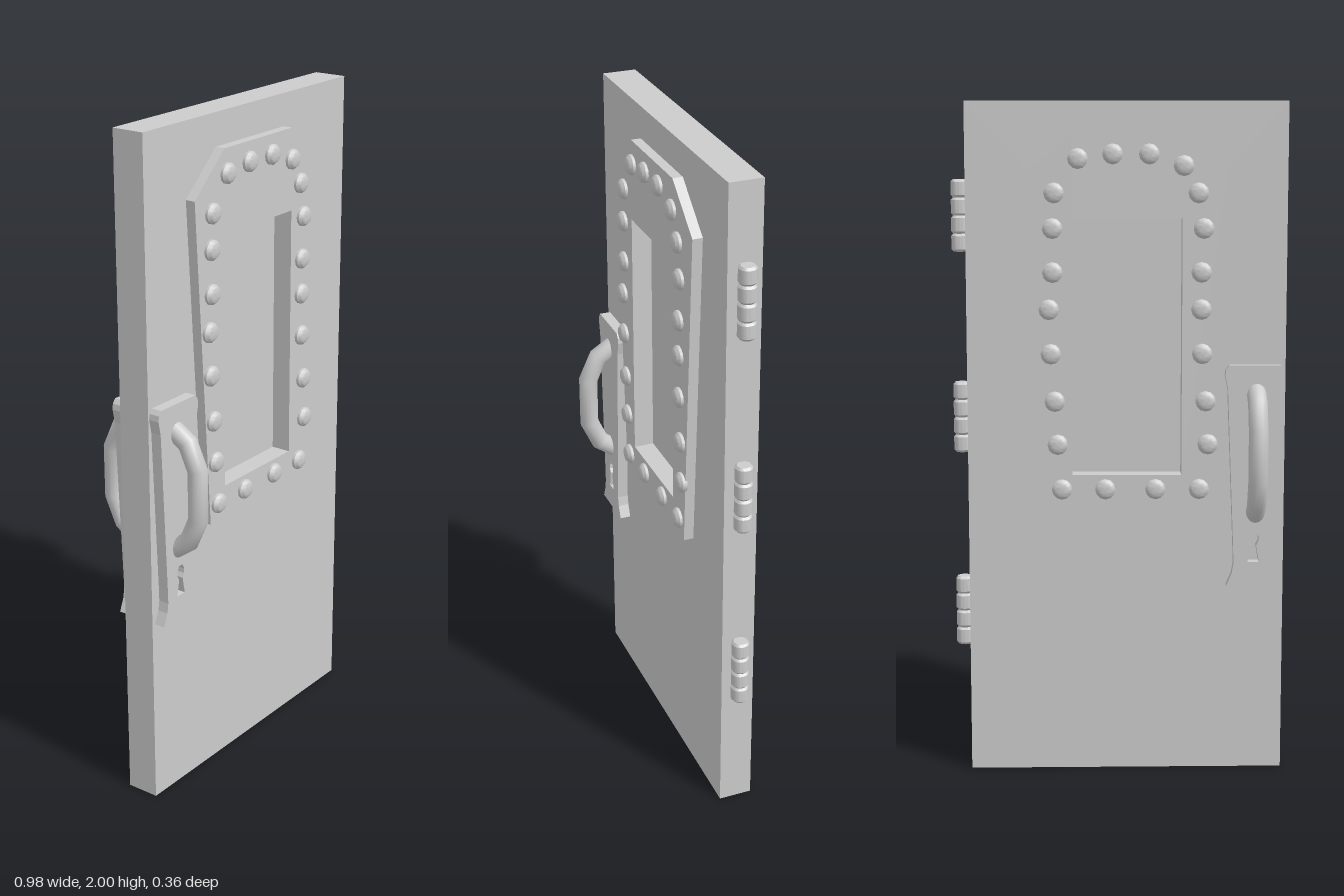
import * as THREE from 'three';
import { toCreasedNormals } from 'three/addons/utils/BufferGeometryUtils.js';

const material = new THREE.MeshStandardMaterial({ color: 0xcccccc });

function mesh(name, geometry, x = 0, y = 0, z = 0) {
  const m = new THREE.Mesh(geometry, material);
  m.name = name;
  m.position.set(x, y, z);
  return m;
}

const polygon = (Type, points) => new Type(points.map(([x, y]) => new THREE.Vector2(x, y)));
const rectangle = (x0, x1, y0, y1) => [[x0, y0], [x1, y0], [x1, y1], [x0, y1]];

// Flat plate cut from an outline, with one hole, between two depths
function plate(outline, hole, z0, z1) {
  const shape = polygon(THREE.Shape, outline);
  shape.holes.push(polygon(THREE.Path, hole));
  const g = new THREE.ExtrudeGeometry(shape, { depth: z1 - z0, bevelEnabled: false });
  return g.translate(0, 0, z0);
}

const WINDOW = rectangle(-0.185, 0.137, 0.91, 1.663);

const FRAME = [
  [-0.255, 0.81], [0.222, 0.81], [0.28, 1.785],
  [0.137, 1.905], [-0.183, 1.905], [-0.316, 1.785],
];

const RIVETS = [
  [-0.172, 1.835], [-0.071, 1.848], [0.035, 1.848], [0.135, 1.815],
  [-0.241, 1.737], [0.178, 1.737], [-0.246, 1.635], [0.194, 1.635],
  [-0.246, 1.508], [0.188, 1.508], [-0.257, 1.4], [0.188, 1.4],
  [-0.252, 1.27], [0.191, 1.27], [-0.241, 1.13], [0.202, 1.13],
  [-0.233, 1.002], [0.209, 1.002],
  [-0.221, 0.868], [-0.093, 0.868], [0.055, 0.868], [0.184, 0.868],
];

// Half outline of the lock plate, as offsets from its middle line
const LOCK_X = -0.401;
const LOCK_SIDE = [
  [0.08, 0.572], [0.064, 0.61], [0.059, 0.64], [0.06, 0.68],
  [0.08, 1.165], [0.088, 1.205], [0.086, 1.222], [0.076, 1.235],
];
const KEYHOLE_SIDE = [
  [0.017, 0.645], [0.008, 0.695], [0.015, 0.708], [0.016, 0.722], [0.008, 0.738],
];
const symmetric = (side) => [
  ...side.map(([x, y]) => [LOCK_X + x, y]),
  ...side.map(([x, y]) => [LOCK_X - x, y]).reverse(),
];

// Faceted, domed rivet pointing along +z
const rivetGeometry = toCreasedNormals(
  new THREE.LatheGeometry(
    [[0.03, -0.005], [0.03, 0.008], [0.022, 0.017], [0.012, 0.02], [0, 0.02]]
      .map(([r, h]) => new THREE.Vector2(r, h)), 12
  ).rotateX(Math.PI / 2), 0.6);

// Bent pull handle, standing out along +z
function handleGeometry() {
  const path = new THREE.CatmullRomCurve3(
    [[1.16, 0.06], [1.125, 0.118], [1.05, 0.152], [0.9, 0.152], [0.825, 0.118], [0.785, 0.06]]
      .map(([y, z]) => new THREE.Vector3(0, y, z)));
  // One tube ring at each bend
  path.getPointAt = path.getPoint;
  path.getTangentAt = path.getTangent;
  return new THREE.TubeGeometry(path, 5, 0.029, 16);
}

// Stack of bevelled knuckles
function hinge(y) {
  const group = new THREE.Group();
  group.name = 'hinge';
  const step = 0.0525;
  const half = step / 2;
  const profile = [
    [0, -half], [0.02, -half], [0.026, -half + 0.007],
    [0.026, half - 0.007], [0.02, half], [0, half],
  ].map(([r, h]) => new THREE.Vector2(r, h));
  const geometry = toCreasedNormals(new THREE.LatheGeometry(profile, 16), 0.6);
  for (let i = 0; i < 4; i++) {
    group.add(mesh('hingeKnuckle', geometry, 0.464, y + (i - 1.5) * step, 0));
  }
  return group;
}

export function createModel() {
  const door = new THREE.Group();
  door.name = 'door';

  // Slab with a window opening, closed by a recessed pane
  door.add(mesh('doorSlab', plate(rectangle(-0.493, 0.446, 0, 2), WINDOW, -0.05, 0.05)));
  door.add(mesh('windowPane', new THREE.BoxGeometry(0.322, 0.753, 0.04), -0.024, 1.2865, 0));

  for (const side of [1, -1]) {
    const face = new THREE.Group();
    face.name = side > 0 ? 'frontFittings' : 'backFittings';
    const surface = side > 0 ? 0.08 : 0.078;
    const span = (depth) => (side > 0 ? [0.05, depth] : [-depth, -0.05]);

    face.add(mesh('windowFrame', plate(FRAME, WINDOW, ...span(surface))));
    face.add(mesh('lockPlate',
      plate(symmetric(LOCK_SIDE), symmetric(KEYHOLE_SIDE), ...span(surface + 0.003))));

    // The back rivets are the front ones turned half round
    for (const [x, y] of RIVETS) {
      const rivet = mesh('rivet', rivetGeometry, side > 0 ? x : -0.053 - x, y, side * surface);
      if (side < 0) rivet.rotation.y = Math.PI;
      face.add(rivet);
    }

    const handle = mesh('pullHandle', handleGeometry(), -0.406, 0, 0);
    if (side < 0) handle.rotation.y = Math.PI;
    face.add(handle);
    door.add(face);
  }

  for (const y of [1.67, 1.075, 0.485]) door.add(hinge(y));
  return door;
}
